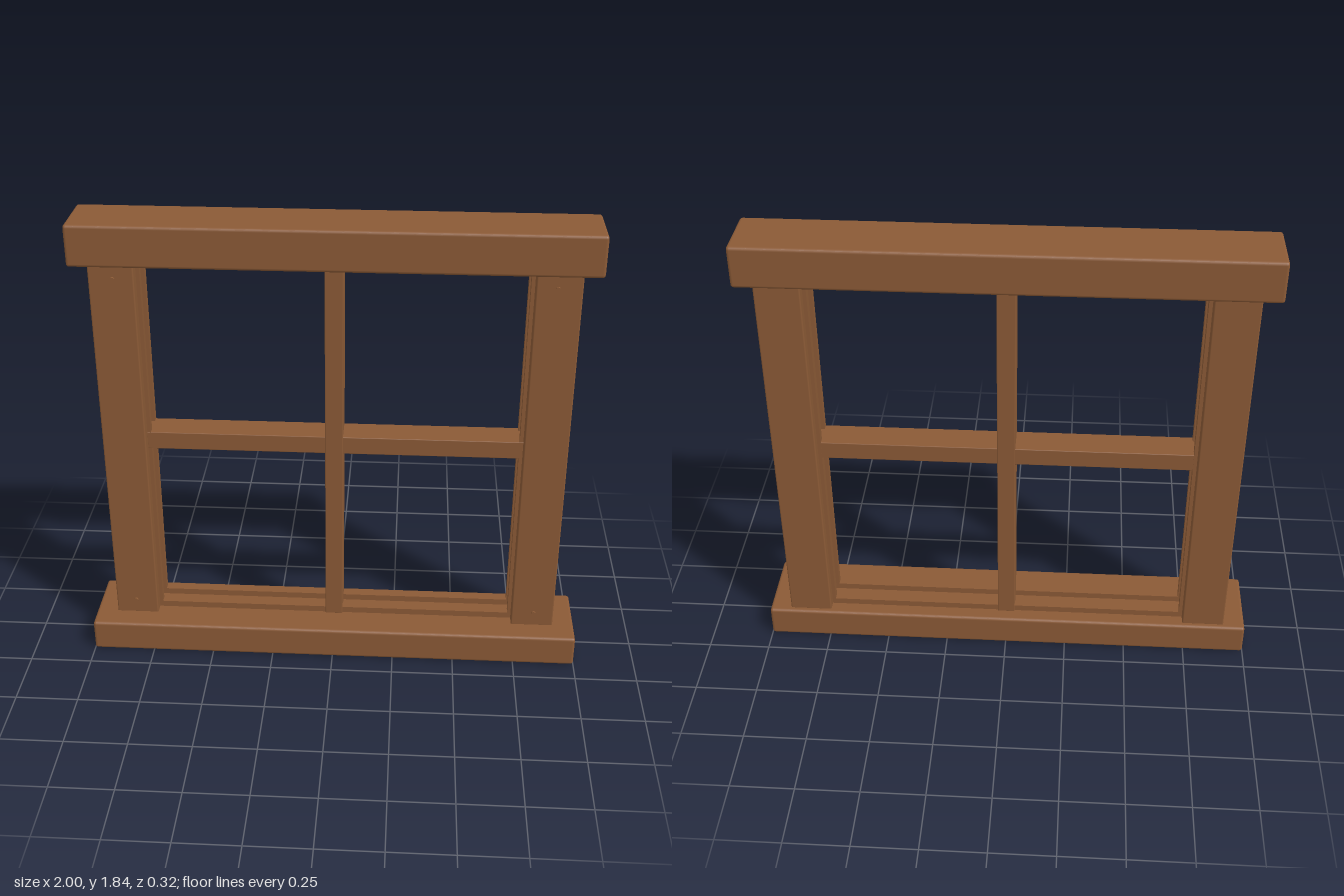
import * as THREE from 'three';
import { RoundedBoxGeometry } from 'three/addons/geometries/RoundedBoxGeometry.js';

export function createModel() {
  const group = new THREE.Group();
  group.name = 'windowFrame';

  const wood = new THREE.MeshStandardMaterial({ color: 0x8b5a36 });
  wood.name = 'brown wood';

  // Beam given by its min and max along each axis, with softened edges
  function beam(name, [x0, x1], [y0, y1], [z0, z1], radius) {
    const size = [x1 - x0, y1 - y0, z1 - z0];
    const geometry = radius
      ? new RoundedBoxGeometry(...size, 2, radius)
      : new THREE.BoxGeometry(...size);
    const mesh = new THREE.Mesh(geometry, wood);
    mesh.name = name;
    mesh.position.set((x0 + x1) / 2, (y0 + y1) / 2, (z0 + z1) / 2);
    group.add(mesh);
  }

  // Sill and lintel
  beam('sill', [-1, 1], [0, 0.13], [-0.16, 0.16], 0.012);
  beam('lintel', [-0.985, 0.985], [1.68, 1.842], [-0.16, 0.086], 0.012);

  // Upright muntin
  beam('verticalMuntin', [-0.035, 0.035], [0.128, 1.682], [-0.107, 0.031], 0.003);

  // Front and back stops framing the glazing groove
  const stopDepths = [[-0.1, -0.07], [-0.005, 0.023]];
  for (const z of stopDepths) {
    beam('bottomStop', [-0.74, 0.74], [0.125, 0.156], z);
    beam('topStop', [-0.74, 0.74], [1.66, 1.685], z);
  }

  for (const [side, s] of [['left', 1], ['right', -1]]) {
    const span = (a, b) => (s > 0 ? [a, b] : [-b, -a]);

    // Post, crossbar and side stops
    beam(side + 'Post', span(0.74, 0.912), [0.125, 1.685], [-0.138, 0.066], 0.006);
    beam(side + 'Crossbar', span(0.03, 0.742), [0.895, 0.968], [-0.098, 0.024], 0.003);
    for (const z of stopDepths) beam(side + 'Stop', span(0.726, 0.745), [0.13, 1.68], z);

    // Nail heads on the post
    for (const [x, y] of [[0.82, 1.63], [0.83, 0.19]]) {
      const nail = new THREE.Mesh(new THREE.CylinderGeometry(0.009, 0.009, 0.02, 10), wood);
      nail.name = side + 'Nail';
      nail.rotation.x = Math.PI / 2;
      nail.position.set(s * x, y, 0.064);
      group.add(nail);
    }
  }

  return group;
}
